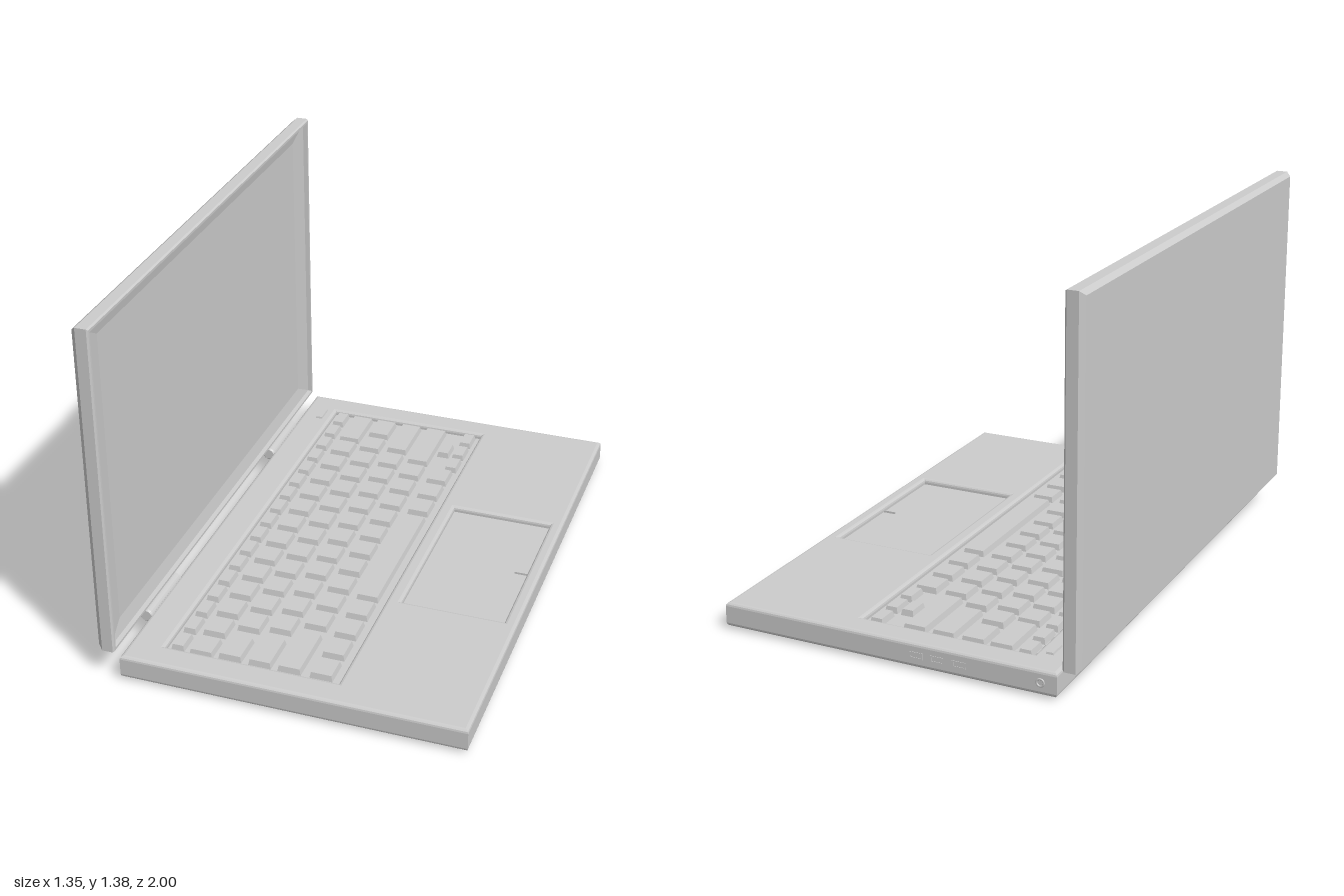
import * as THREE from 'three';

const mat = new THREE.MeshStandardMaterial({ color: 0xcccccc, flatShading: true });
const smooth = new THREE.MeshStandardMaterial({ color: 0xcccccc });

const TOP = 0.099, FLOOR = 0.077; // deck height and recess floor

function add(parent, name, geometry, x = 0, y = 0, z = 0, material = mat) {
  const mesh = new THREE.Mesh(geometry, material);
  mesh.name = name;
  mesh.position.set(x, y, z);
  parent.add(mesh);
  return mesh;
}

// Rectangle path in plan: shape y is -z
function rect(Type, x0, x1, z0, z1) {
  const p = new Type();
  p.moveTo(x0, -z1);
  p.lineTo(x1, -z1);
  p.lineTo(x1, -z0);
  p.lineTo(x0, -z0);
  p.closePath();
  return p;
}

// Box whose top is inset on all sides
function taperedBox(w, h, d, inset) {
  const g = new THREE.BoxGeometry(w, h, d);
  const p = g.attributes.position;
  for (let i = 0; i < p.count; i++) {
    if (p.getY(i) > 0) {
      p.setX(i, p.getX(i) - Math.sign(p.getX(i)) * inset);
      p.setZ(i, p.getZ(i) - Math.sign(p.getZ(i)) * inset);
    }
  }
  g.computeVertexNormals();
  return g;
}

// Rectangular loops along x: each section is [x, inset in y, inset in z]
function rectLoft(sections, y0, y1, halfZ, capBack, capFront) {
  const loops = sections.map(([x, iy, iz]) => [
    [x, y0 + iy, halfZ - iz], [x, y0 + iy, iz - halfZ],
    [x, y1 - iy, iz - halfZ], [x, y1 - iy, halfZ - iz]]);
  const pos = [];
  const quad = (a, b, c, d) => pos.push(...a, ...b, ...c, ...a, ...c, ...d);
  for (let s = 0; s + 1 < loops.length; s++) {
    for (let i = 0; i < 4; i++) {
      const j = (i + 1) % 4;
      quad(loops[s][i], loops[s][j], loops[s + 1][j], loops[s + 1][i]);
    }
  }
  if (capBack) quad(...[...loops[0]].reverse());
  if (capFront) quad(...loops[loops.length - 1]);
  const g = new THREE.BufferGeometry();
  g.setAttribute('position', new THREE.Float32BufferAttribute(pos, 3));
  g.computeVertexNormals();
  return g;
}

function createBase() {
  const base = new THREE.Group();
  base.name = 'base';

  // Body with bevelled edges and openings for keyboard and touchpad
  const bevel = 0.013, height = TOP - 0.01;
  const plan = rect(THREE.Shape, -0.595, 0.675, -1, 1);
  plan.holes.push(rect(THREE.Path, -0.467, 0.182, -0.897, 0.892));
  plan.holes.push(rect(THREE.Path, 0.228, 0.636, -0.324, 0.375));
  // The touchpad opening is cut straight by shrinking it by the bevel
  plan.holes[1] = rect(THREE.Path, 0.238, 0.626, -0.314, 0.365);
  const body = new THREE.ExtrudeGeometry(plan, {
    depth: height - 2 * bevel, bevelEnabled: true, bevelSize: bevel,
    bevelThickness: bevel, bevelOffset: -bevel, bevelSegments: 3 });
  body.rotateX(-Math.PI / 2);
  add(base, 'baseBody', body, 0, 0.01 + bevel, 0);

  // Inner slab: closes the bottom and forms the recess floors
  const slabH = FLOOR - 0.0095;
  add(base, 'recessFloor', new THREE.BoxGeometry(1.24, slabH, 1.97), 0.04, 0.0095 + slabH / 2, 0);

  // Small divider at the front of the touchpad
  add(base, 'touchpadDivider', new THREE.BoxGeometry(0.05, 0.008, 0.006), 0.6, FLOOR + 0.004, 0.026);

  // Power button
  add(base, 'powerButton', taperedBox(0.03, 0.012, 0.075, 0.003), -0.515, 0.1, -0.846);

  // Feet
  for (const x of [-0.472, 0.573]) {
    for (const z of [-0.87, 0.87]) {
      add(base, 'foot', new THREE.CylinderGeometry(0.031, 0.028, 0.014, 24), x, 0.007, z, mat);
    }
  }

  // Ports along the right end
  for (const x of [-0.24, -0.16, -0.08]) {
    const frame = rect(THREE.Shape, -0.026, 0.026, -0.012, 0.012);
    frame.holes.push(rect(THREE.Path, -0.02, 0.02, -0.007, 0.007));
    const g = new THREE.ExtrudeGeometry(frame, { depth: 0.006, bevelEnabled: false });
    add(base, 'port', g, x, 0.055, -1.002);
  }
  add(base, 'roundPort', new THREE.TorusGeometry(0.013, 0.004, 8, 24), -0.536, 0.055, -0.999, smooth);
  return base;
}

function createKeyboard() {
  const keyboard = new THREE.Group();
  keyboard.name = 'keyboard';
  const key = (x0, x1, z0, z1) => add(keyboard, 'key',
    taperedBox(x1 - x0, TOP - FLOOR, z1 - z0, 0.005),
    (x0 + x1) / 2, (TOP + FLOOR) / 2, (z0 + z1) / 2);
  const run = (x0, x1, start, count, pitch, size) => {
    for (let i = 0; i < count; i++) key(x0, x1, start + i * pitch, start + i * pitch + size);
  };

  // Function row
  run(-0.453, -0.403, -0.888, 17, 0.105, 0.085);

  // Main rows: x range, wide key at each end, run of letter keys between
  const rows = [
    { x: [-0.381, -0.294], right: -0.69, start: -0.671, count: 13 },
    { x: [-0.275, -0.188], right: -0.761, start: -0.735, count: 12, left: 0.747 },
    { x: [-0.162, -0.077], right: -0.666, start: -0.639, count: 11, left: 0.718 },
    { x: [-0.053, 0.034], right: -0.605, start: -0.581, count: 10, left: 0.65 },
  ];
  for (const { x, right, start, count, left } of rows) {
    key(...x, -0.883, right);
    run(...x, start, count, 0.1215, 0.096);
    if (left !== undefined) key(...x, left, 0.873);
  }

  // Bottom row with space bar
  run(0.066, 0.151, -0.581, 3, 0.1225, 0.099);
  key(0.066, 0.151, -0.21, 0.378);
  run(0.066, 0.151, 0.4, 4, 0.1245, 0.099);

  // Arrow keys
  run(0.111, 0.161, -0.888, 3, 0.104, 0.085);
  key(0.048, 0.098, -0.784, -0.699);
  return keyboard;
}

function createLid() {
  const lid = new THREE.Group();
  lid.name = 'lid';
  // Housing: tapered back, straight sides, thin front rim
  add(lid, 'lidHousing', rectLoft([
    [-0.678, 0.015, 0.015], [-0.66, 0, 0], [-0.619, 0, 0], [-0.613, 0.005, 0.005],
    [-0.613, 0.014, 0.014], [-0.63, 0.016, 0.016]], 0.11, 1.375, 1, true, false));
  // Screen: shallow sloping border down to the flat display
  add(lid, 'screen', rectLoft([
    [-0.63, 0.016, 0.016], [-0.64, 0.07, 0.11]], 0.11, 1.375, 1, false, true));
  return lid;
}

export function createModel() {
  const model = new THREE.Group();
  model.name = 'laptop';
  model.add(createBase(), createKeyboard(), createLid());

  // Hinge barrels with chamfered ends
  const profile = [[0, -0.13], [0.021, -0.13], [0.027, -0.124], [0.027, 0.124], [0.021, 0.13], [0, 0.13]]
    .map(([r, h]) => new THREE.Vector2(r, h));
  for (const side of [-1, 1]) {
    const hinge = add(model, 'hinge', new THREE.LatheGeometry(profile, 24), -0.615, 0.088, side * 0.605);
    hinge.rotation.x = Math.PI / 2;
  }
  return model;
}
